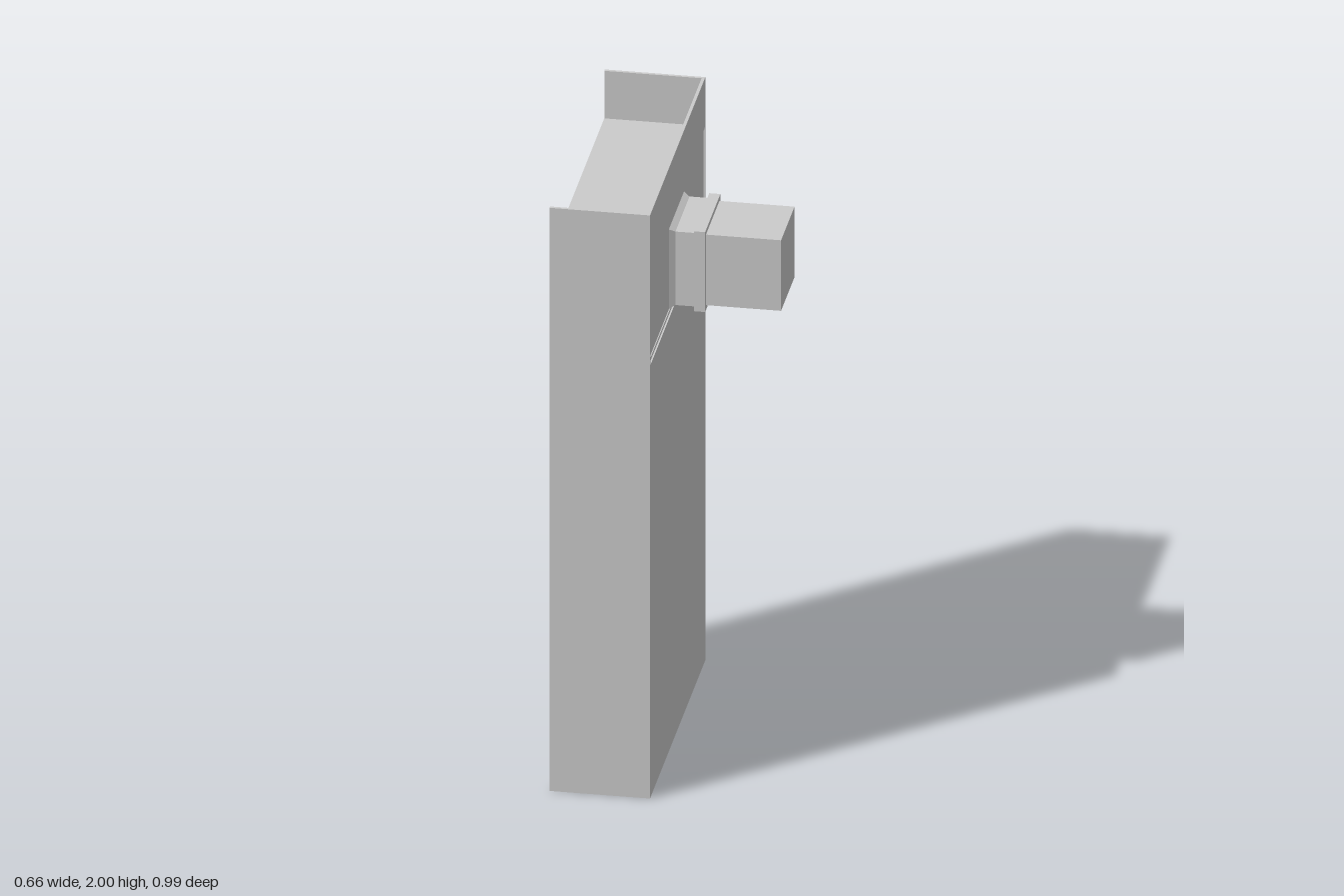
import * as THREE from 'three';

export function createModel() {
  const model = new THREE.Group();
  const grey = new THREE.MeshStandardMaterial({ color: 0xcccccc, flatShading: true, side: THREE.DoubleSide });

  const add = (name, geometry) => {
    const mesh = new THREE.Mesh(geometry, grey);
    mesh.name = name;
    model.add(mesh);
    return mesh;
  };

  // Box given by its low and high corners
  const slab = (name, [x0, y0, z0], [x1, y1, z1]) =>
    add(name, new THREE.BoxGeometry(x1 - x0, y1 - y0, z1 - z0))
      .position.set((x0 + x1) / 2, (y0 + y1) / 2, (z0 + z1) / 2);

  const front = -0.33, back = -0.015, t = 0.01;
  const half = 0.497, inner = half - t;
  const ductY = 1.643;

  // Side walls
  slab('leftSideWall', [front, 0, inner], [back, 2, half]);
  slab('rightSideWall', [front, 0, -half], [back, 2, -inner]);

  // Back sheet in two pieces, leaving a bay for the duct panel
  slab('lowerBackPanel', [back - t, 0, -inner], [back, 1.483, inner]);
  slab('upperBackPanel', [back - t, 1.832, -inner], [back, 2, inner]);

  // Shelves
  for (const y of [0.21, 0.543, 0.876, 1.21, 1.5, 1.832]) {
    slab('shelf', [front, y - 0.005, -inner], [back - 0.001, y + 0.005, inner]);
  }

  // Slightly recessed panel with a square opening into the duct
  const rect = (Path, w, y0, y1) => new Path([[-w, y0], [w, y0], [w, y1], [-w, y1]]
    .map(([x, y]) => new THREE.Vector2(x, y)));
  const panel = rect(THREE.Shape, inner - 0.004, 1.497, 1.828);
  panel.holes.push(rect(THREE.Path, 0.12, ductY - 0.12, ductY + 0.12));
  const panelGeometry = new THREE.ExtrudeGeometry(panel, { depth: 0.007, bevelEnabled: false });
  panelGeometry.rotateY(Math.PI / 2);
  add('ductPanel', panelGeometry).position.x = -0.026;

  // Square tube along x from [halfWidth, x] pairs
  const squareTube = (name, profile) => {
    const points = profile.map(([r, x]) => new THREE.Vector2(r * Math.SQRT2, x));
    const geometry = new THREE.LatheGeometry(points, 4, Math.PI / 4);
    geometry.rotateZ(-Math.PI / 2);
    add(name, geometry).position.y = ductY;
  };

  // Duct: flared neck, collar and closed end box
  squareTube('ductNeck', [[0.137, -0.02], [0.126, 0], [0.126, 0.062]]);
  squareTube('ductCollar', [[0.122, 0.06], [0.137, 0.06], [0.137, 0.095], [0.122, 0.095]]);
  squareTube('ductBox', [[0.121, 0.06], [0.121, 0.33], [0, 0.33]]);

  return model;
}
